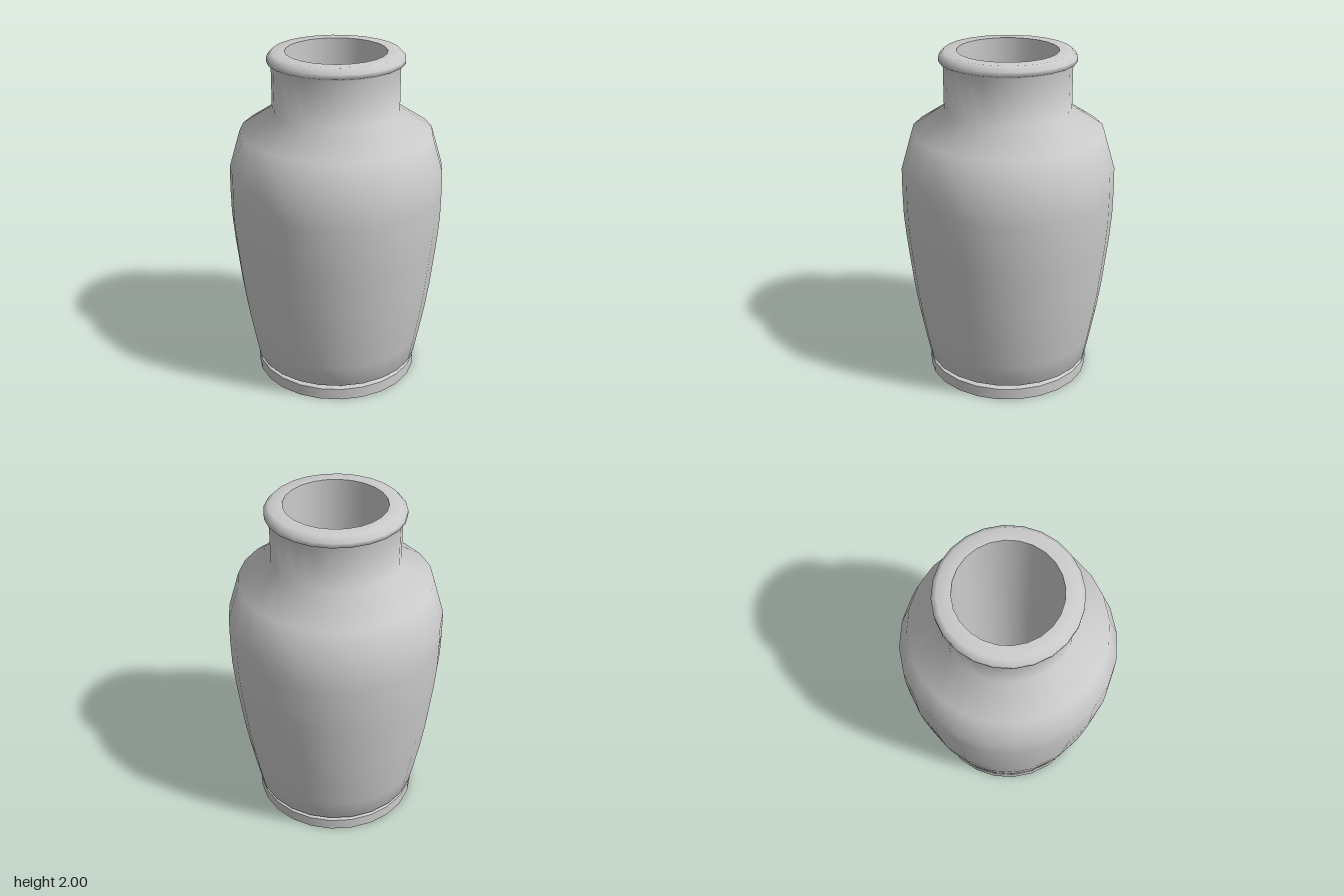
import * as THREE from 'three';

const SIDES = 24;

export function createModel() {
  const vase = new THREE.Group();
  vase.name = 'vase';
  const clay = new THREE.MeshStandardMaterial({ color: 0xcccccc });
  clay.name = 'grey clay';

  // Turns a [radius, height] profile into a named part, smooth along its length
  const turn = (name, profile) => {
    const points = profile.map(([r, y]) => new THREE.Vector2(r, y));
    const mesh = new THREE.Mesh(new THREE.LatheGeometry(points, SIDES), clay);
    mesh.name = name;
    vase.add(mesh);
  };

  // Foot: flat base, upright band and small bevelled ledge
  turn('footBase', [[0, 0], [0.49, 0]]);
  turn('footBand', [[0.49, 0], [0.49, 0.07]]);
  turn('footLedge', [[0.49, 0.07], [0.48, 0.077], [0.455, 0.077]]);
  turn('footGroove', [[0.455, 0.077], [0.455, 0.088]]);

  // Body, shoulder, neck and rolled lip in one smooth sweep
  turn('body', [
    [0.455, 0.088], [0.495, 0.1], [0.522, 0.24], [0.553, 0.41], [0.578, 0.58],
    [0.597, 0.75], [0.612, 0.89], [0.623, 1.03], [0.625, 1.18], [0.623, 1.32],
    [0.558, 1.54], [0.368, 1.665], [0.368, 1.93], [0.393, 1.945],
    [0.393, 1.97], [0.365, 2], [0.29, 2],
  ]);

  // Hollow inside
  turn('innerWall', [[0.29, 2], [0.29, 0.15]]);
  turn('innerFloor', [[0.29, 0.15], [0, 0.15]]);

  return vase;
}
